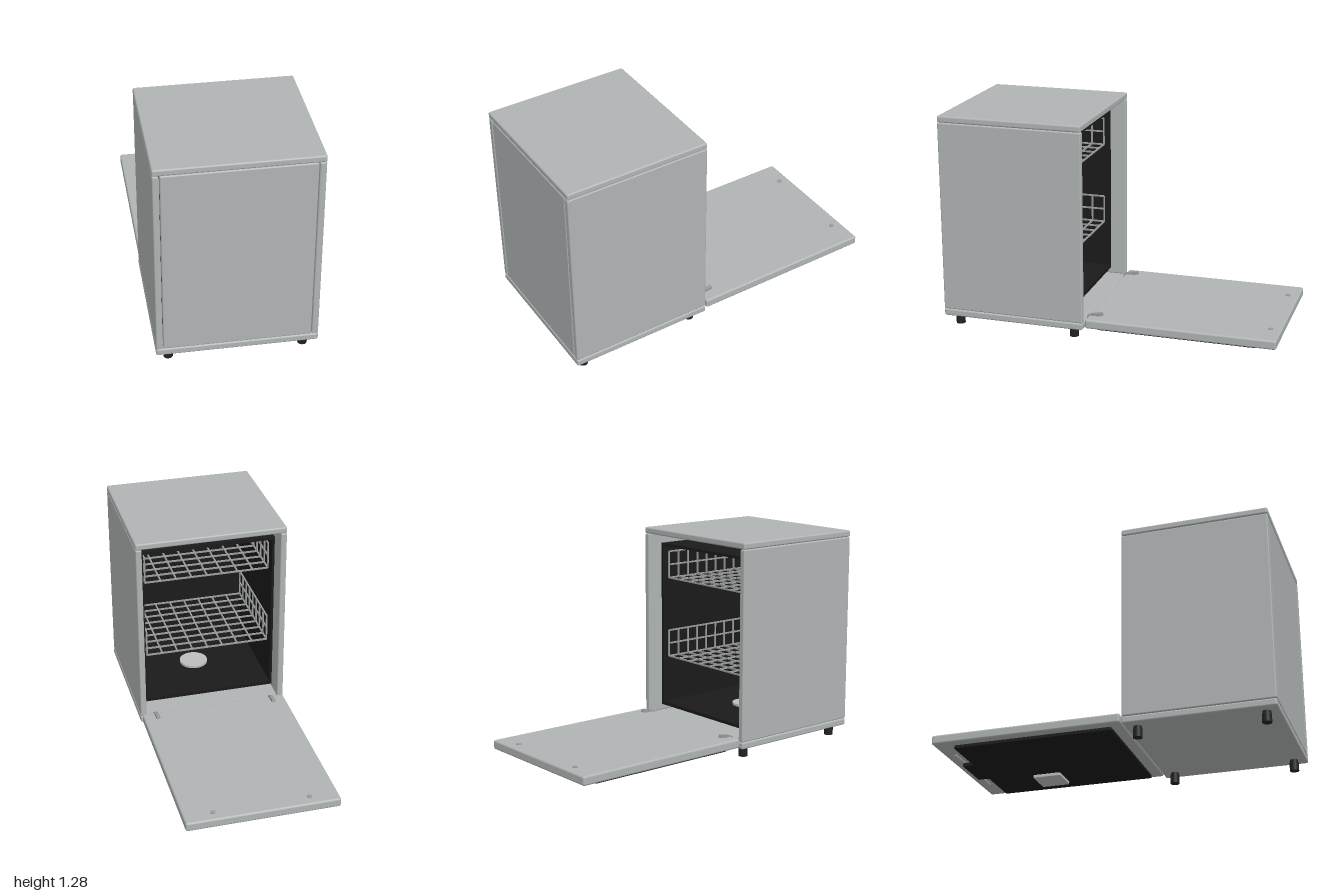
import * as THREE from 'three';
import { RoundedBoxGeometry } from 'three/addons/geometries/RoundedBoxGeometry.js';
import { mergeGeometries } from 'three/addons/utils/BufferGeometryUtils.js';

const material = (name, color) => {
  const m = new THREE.MeshStandardMaterial({ color });
  m.name = name;
  return m;
};

export function createModel() {
  const model = new THREE.Group();
  model.name = 'dishwasher';
  const steel = material('steel grey', 0xb0b4b4);
  const black = material('tub black', 0x1a1a1a);
  const rubber = material('foot black', 0x222222);
  const wire = material('wire grey', 0x9a9c9c);
  const pale = material('pale grey', 0xbcbebe);

  const add = (parent, name, geometry, mat) => {
    const mesh = new THREE.Mesh(geometry, mat);
    mesh.name = name;
    parent.add(mesh);
    return mesh;
  };
  // Box between two values on each axis, with optional rounded edges
  const box = (parent, name, mat, [x0, x1], [y0, y1], [z0, z1], r = 0) => {
    const size = [x1 - x0, y1 - y0, z1 - z0];
    const g = r ? new RoundedBoxGeometry(...size, 3, r) : new THREE.BoxGeometry(...size);
    g.translate((x0 + x1) / 2, (y0 + y1) / 2, (z0 + z1) / 2);
    return add(parent, name, g, mat);
  };
  const disc = (parent, name, mat, r, x, [y0, y1], z) => {
    const g = new THREE.CylinderGeometry(r, r, y1 - y0, 32);
    g.translate(x, (y0 + y1) / 2, z);
    return add(parent, name, g, mat);
  };

  // Cabinet shell
  const cabinet = new THREE.Group();
  cabinet.name = 'cabinet';
  model.add(cabinet);
  box(cabinet, 'basePlate', steel, [-0.457, 0.457], [0.065, 0.107], [0.135, 1], 0.01);
  box(cabinet, 'topPlate', steel, [-0.457, 0.457], [1.245, 1.284], [0.135, 1], 0.01);
  box(cabinet, 'outerPanel', steel, [-0.416, 0.416], [0.109, 1.243], [0.963, 0.999], 0.008);
  for (const s of [-1, 1]) {
    const x = [0.419, 0.456].map(v => v * s).sort((a, b) => a - b);
    box(cabinet, 'sidePanel', steel, x, [0.108, 1.244], [0.135, 1], 0.008);
    for (const z of [0.208, 0.928]) {
      disc(cabinet, 'foot', rubber, 0.027, s * 0.383, [0, 0.05], z);
      disc(cabinet, 'footStem', rubber, 0.024, s * 0.383, [0.05, 0.067], z);
    }
  }

  // Wash tub, open towards the door
  const tub = new THREE.Group();
  tub.name = 'tub';
  model.add(tub);
  const depth = [0.23, 0.95];
  box(tub, 'tubFloor', black, [-0.41, 0.41], [0.15, 0.17], depth);
  box(tub, 'tubCeiling', black, [-0.41, 0.41], [1.165, 1.182], depth);
  box(tub, 'tubBack', black, [-0.41, 0.41], [0.17, 1.165], [0.935, 0.95]);
  box(tub, 'tubWallRight', black, [-0.41, -0.395], [0.17, 1.165], depth);
  box(tub, 'tubWallLeft', black, [0.395, 0.41], [0.17, 1.165], depth);
  disc(tub, 'drainFilter', pale, 0.088, 0.01, [0.17, 0.185], 0.59);

  // Wire baskets: floor grid with a mesh wall on each side
  const X = 0.38, Z0 = 0.265, Z1 = 0.88, T = 0.009;
  const basket = (name, y, height) => {
    const bars = [];
    const bar = (w, h, d, px, py, pz) => {
      const g = new THREE.BoxGeometry(w, h, d);
      g.translate(px, py, pz);
      bars.push(g);
    };
    const midZ = (Z0 + Z1) / 2, lenZ = Z1 - Z0;
    const n = 8;
    for (let i = 0; i <= n; i++) {
      const z = Z0 + lenZ * i / n;
      bar(2 * X, T, T, 0, y, z);
      bar(T, T, lenZ, -X + 2 * X * i / n, y, midZ);
      for (const s of [-1, 1]) bar(T, height, T, s * X, y + height / 2, z);
    }
    for (const s of [-1, 1])
      for (const k of [0.5, 1]) bar(T, T, lenZ, s * X, y + height * k, midZ);
    add(model, name, mergeGeometries(bars), wire);
  };
  basket('lowerBasket', 0.463, 0.165);
  basket('upperBasket', 0.963, 0.165);

  // Door lying open
  const door = new THREE.Group();
  door.name = 'door';
  model.add(door);
  box(door, 'doorPanel', steel, [-0.45, 0.45], [0.078, 0.133], [-1, 0.122], 0.012);
  box(door, 'doorLiner', black, [-0.4, 0.4], [0.056, 0.079], [-0.88, 0.06], 0.006);
  box(door, 'detergentBox', pale, [0.135, 0.302], [0.036, 0.057], [-0.6, -0.43], 0.005);
  box(door, 'latchPlate', black, [-0.12, 0.12], [0.058, 0.079], [-0.945, -0.875]);
  for (const s of [-1, 1]) {
    const x = [0.13, 0.26].map(v => v * s).sort((a, b) => a - b);
    box(door, 'latchStrip', pale, x, [0.073, 0.079], [-0.94, -0.925]);
    disc(door, 'doorStud', wire, 0.015, s * 0.28, [0.13, 0.137], -0.935);

    // Sloping hinge arm with a bent tip at the cabinet end
    const side = new THREE.Shape([
      [0.13, 0.11], [0.13, 0.132], [0.1, 0.146], [0.04, 0.155], [0.036, 0.138], [0.09, 0.13], [0.115, 0.11],
    ].map(p => new THREE.Vector2(-p[0], p[1])));
    const g = new THREE.ExtrudeGeometry(side, { depth: 0.022, bevelEnabled: false });
    g.rotateY(Math.PI / 2);
    g.translate(s * 0.367 - 0.011, 0, 0);
    add(door, 'hingeArm', g, wire);
  }
  return model;
}
